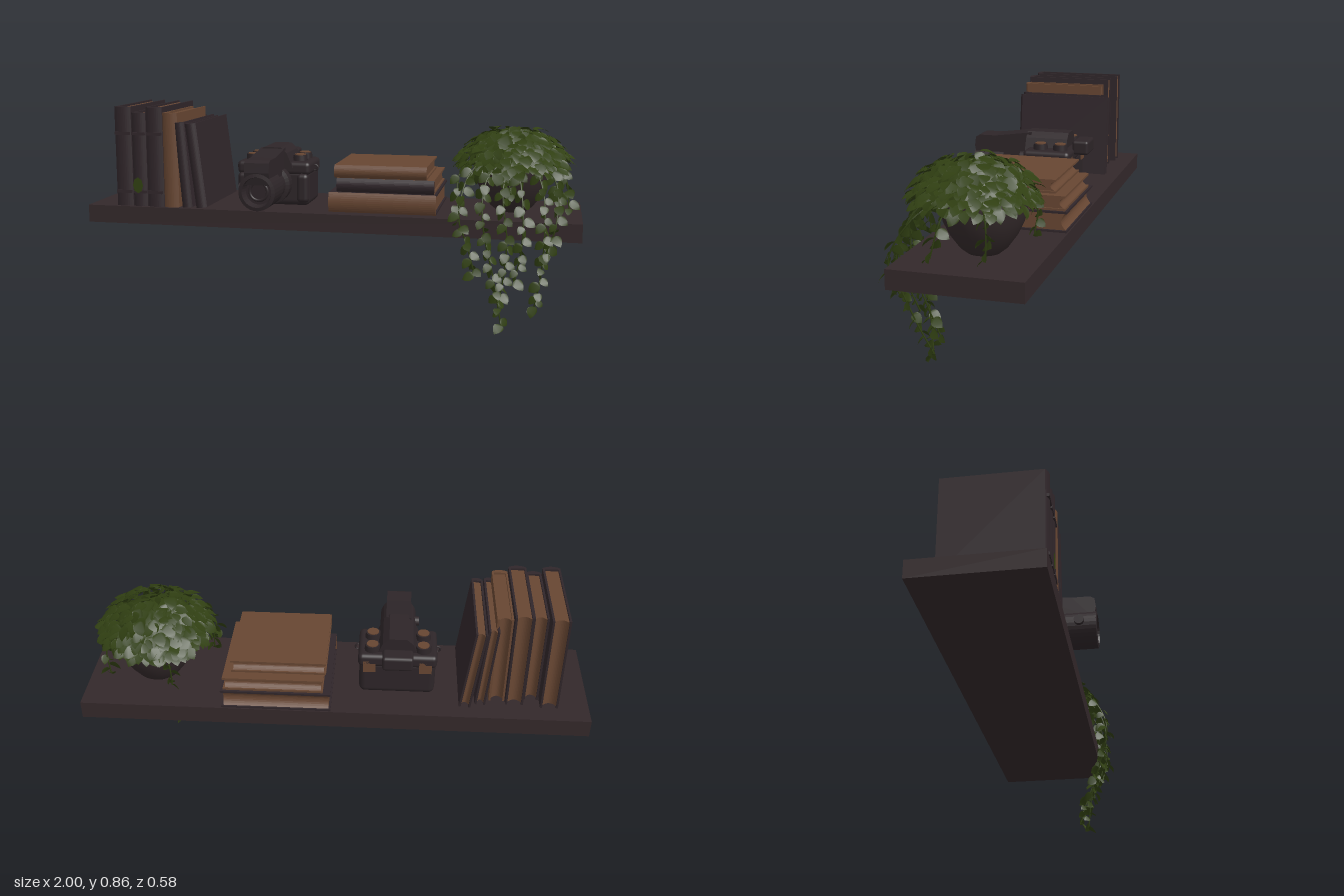
import * as THREE from 'three';
import { mergeGeometries } from 'three/addons/utils/BufferGeometryUtils.js';
import { RoundedBoxGeometry } from 'three/addons/geometries/RoundedBoxGeometry.js';

const material = (name, color, side = THREE.FrontSide) => {
  const m = new THREE.MeshStandardMaterial({ color, side });
  m.name = name;
  return m;
};
const wood = material('dark wood', 0x33282a);
const dark = material('dark cover', 0x30262a);
const tan = material('tan paper', 0x674632);
const clay = material('dark clay', 0x33292a, THREE.DoubleSide);
const black = material('camera black', 0x2d2528);
const leafGreen = material('leaf green', 0x303f12, THREE.DoubleSide);
const SHELF = 0.447;

let seed = 7;
const rand = () => (seed = (seed * 16807) % 2147483647) / 2147483647;
const jitter = (a) => (rand() - 0.5) * a;
const V = (x, y, z) => new THREE.Vector3(x, y, z);

function add(parent, name, geometry, mat, x = 0, y = 0, z = 0) {
  const mesh = new THREE.Mesh(geometry, mat);
  mesh.name = name;
  mesh.position.set(x, y, z);
  parent.add(mesh);
  return mesh;
}

// Extrudes an outline in (x, -z) upwards
function prism(shape, h) {
  const g = new THREE.ExtrudeGeometry(shape, { depth: h, bevelEnabled: false, curveSegments: 10 });
  return g.rotateX(-Math.PI / 2);
}

// Upright book standing on y = 0, spine facing +z, hollow fore-edge at the back
function makeBook(name, w, h, d, cover, spineMat) {
  const book = new THREE.Group();
  book.name = name;
  const t = 0.008, a = w / 2, b = d / 2;
  for (const s of [-1, 1]) {
    add(book, 'coverBoard', new THREE.BoxGeometry(t, h, d - 0.012), cover, s * (a - t / 2), h / 2, -0.006);
  }
  const spine = new THREE.Shape();
  spine.moveTo(-a, -b + 0.012);
  spine.quadraticCurveTo(0, -b - 0.012, a, -b + 0.012);
  spine.lineTo(a - t, -b + 0.022);
  spine.lineTo(-a + t, -b + 0.022);
  add(book, 'spine', prism(spine, h), spineMat);
  const pages = new THREE.Shape();
  pages.moveTo(-a + t, -b + 0.02);
  pages.lineTo(a - t, -b + 0.02);
  pages.lineTo(a - t, b - 0.006);
  pages.quadraticCurveTo(0, b - 0.04, -a + t, b - 0.006);
  add(book, 'pages', prism(pages, h - 0.016), tan, 0, 0.008);
  return book;
}

function makeUprightBooks() {
  const row = new THREE.Group();
  row.name = 'uprightBooks';
  // x, width, height, back z, cover, lean
  const books = [
    [-0.844, 0.07, 0.408, -0.215, dark, 0], [-0.776, 0.06, 0.385, -0.165, dark, 0],
    [-0.709, 0.07, 0.408, -0.2, dark, 0], [-0.641, 0.062, 0.386, -0.18, tan, 0],
    [-0.574, 0.042, 0.348, -0.21, dark, 0.08], [-0.513, 0.046, 0.345, -0.23, dark, 0.12],
  ];
  books.forEach(([x, w, h, back, cover, lean]) => {
    const book = makeBook('uprightBook', w, h, 0.18 - back, cover, cover);
    book.position.set(x, SHELF + (w / 2) * Math.sin(lean), (0.18 + back) / 2);
    book.rotation.z = lean;
    row.add(book);
    if (cover === dark && !lean) {
      for (const y of [0.06, 0.3]) add(book, 'spineBand', new THREE.BoxGeometry(w * 0.9, 0.012, 0.012), dark, 0, y, (0.18 - back) / 2 - 0.003);
    }
  });
  const mark = add(row, 'spineEmblem', new THREE.CircleGeometry(0.022, 8), leafGreen, -0.78, 0.535, 0.186);
  mark.scale.y = 1.5;
  return row;
}

function makeBookStack() {
  const stack = new THREE.Group();
  stack.name = 'bookStack';
  // x centre, length, thickness, base y, back z, front z, cover, spine
  const books = [
    [0.225, 0.43, 0.08, 0, -0.285, 0.145, dark, tan],
    [0.235, 0.39, 0.056, 0.08, -0.275, 0.13, tan, dark],
    [0.215, 0.37, 0.052, 0.136, -0.232, 0.128, tan, tan],
  ];
  books.forEach(([x, len, t, y, back, front, cover, spine]) => {
    const book = makeBook('lyingBook', t, len, front - back, cover, spine);
    book.rotation.z = Math.PI / 2;
    book.position.set(x + len / 2, SHELF + y + t / 2, (front + back) / 2);
    stack.add(book);
  });
  return stack;
}

function makeCamera() {
  const cam = new THREE.Group();
  cam.name = 'camera';
  cam.position.set(-0.245, SHELF, 0);
  add(cam, 'body', new RoundedBoxGeometry(0.3, 0.15, 0.19, 3, 0.025), black, 0, 0.075, -0.06);
  add(cam, 'topPlate', new RoundedBoxGeometry(0.31, 0.055, 0.2, 3, 0.018), black, 0, 0.155, -0.06);
  for (const s of [-1, 1]) {
    add(cam, 'grip', new RoundedBoxGeometry(0.05, 0.12, 0.04, 3, 0.018), black, s * 0.125, 0.075, 0.035);
    add(cam, 'strapLug', new THREE.TorusGeometry(0.012, 0.004, 6, 12), black, s * 0.157, 0.15, -0.05);
    add(cam, 'backPanel', new THREE.BoxGeometry(0.05, 0.05, 0.006), tan, s * 0.11, 0.13, -0.157);
    for (const z of [-0.11, -0.025]) {
      add(cam, 'dial', new THREE.CylinderGeometry(0.029, 0.031, 0.025, 20), black, s * 0.1, 0.193, z);
      add(cam, 'dialCap', new THREE.CylinderGeometry(0.023, 0.023, 0.004, 20), tan, s * 0.1, 0.207, z);
    }
  }
  // Viewfinder hump, with a nose reaching over the lens
  const hump = new THREE.Shape([[-0.085, 0.16], [0.085, 0.16], [0.06, 0.22], [0.035, 0.243], [-0.035, 0.243], [-0.06, 0.22]]
    .map((p) => new THREE.Vector2(...p)));
  add(cam, 'viewfinderHump', new THREE.ExtrudeGeometry(hump, { depth: 0.18, bevelEnabled: false }), black, 0, 0, -0.13);
  const nose = new THREE.Shape([[-0.03, 0.12], [-0.275, 0.12], [-0.285, 0.17], [-0.28, 0.208], [-0.262, 0.218], [-0.19, 0.218], [-0.03, 0.24]]
    .map((p) => new THREE.Vector2(...p)));
  const noseGeo = new THREE.ExtrudeGeometry(nose, { depth: 0.1, bevelEnabled: false }).rotateY(Math.PI / 2);
  add(cam, 'viewfinderNose', noseGeo, black, -0.05);
  add(cam, 'eyepiece', new RoundedBoxGeometry(0.12, 0.06, 0.07, 2, 0.012), black, 0, 0.185, -0.185);
  // Lens barrel with stepped rings and a recessed front
  const profile = [[0.08, 0], [0.08, 0.05], [0.064, 0.055], [0.064, 0.12], [0.074, 0.125], [0.074, 0.255], [0.06, 0.258], [0.052, 0.225], [0, 0.225]];
  const lens = new THREE.LatheGeometry(profile.map((p) => new THREE.Vector2(...p)), 32).toNonIndexed();
  lens.computeVertexNormals();
  lens.rotateX(Math.PI / 2);
  add(cam, 'lens', lens, black, 0, 0.093, 0.03);
  add(cam, 'lensRing', new THREE.TorusGeometry(0.036, 0.006, 8, 24), black, 0, 0.093, 0.257);
  const knob = add(cam, 'lensKnob', new THREE.CylinderGeometry(0.02, 0.02, 0.02, 16), black, -0.078, 0.1, 0.22);
  knob.rotation.z = Math.PI / 2;
  return cam;
}

// Folded oval leaf, base at the origin, tip towards +y
const leafShape = new THREE.Shape();
leafShape.moveTo(0, 0);
leafShape.bezierCurveTo(0.55, 0.1, 0.55, 0.65, 0, 1);
leafShape.bezierCurveTo(-0.55, 0.65, -0.55, 0.1, 0, 0);
const leafBase = new THREE.ShapeGeometry(leafShape, 6);
const lp = leafBase.attributes.position;
for (let i = 0; i < lp.count; i++) lp.setZ(i, Math.abs(lp.getX(i)) * 0.3 - lp.getY(i) ** 2 * 0.18);
leafBase.computeVertexNormals();

function leafAt(point, tip, normal, size) {
  const y = tip.clone().normalize();
  const x = y.clone().cross(normal).normalize();
  const m = new THREE.Matrix4().makeBasis(x, y, x.clone().cross(y));
  return leafBase.clone().applyMatrix4(m.scale(V(size, size, size)).setPosition(point));
}

function makePlant() {
  const plant = new THREE.Group();
  plant.name = 'pottedPlant';
  const cx = 0.725, cz = -0.063;
  const pot = [[0, 0], [0.06, 0], [0.085, 0.02], [0.118, 0.065], [0.142, 0.115], [0.155, 0.165], [0.158, 0.205], [0.146, 0.208], [0.14, 0.17]];
  add(plant, 'pot', new THREE.LatheGeometry(pot.map((p) => new THREE.Vector2(...p)), 36), clay, cx, SHELF, cz);
  const soil = add(plant, 'soil', new THREE.CircleGeometry(0.145, 24), wood, cx, SHELF + 0.18, cz);
  soil.rotation.x = -Math.PI / 2;
  const mass = add(plant, 'foliageCore', new THREE.SphereGeometry(1, 20, 10, 0, Math.PI * 2, 0, Math.PI / 2), leafGreen, cx, 0.645, -0.035);
  mass.scale.set(0.165, 0.125, 0.165);

  // Dome of overlapping leaves
  const leaves = [];
  const count = 330;
  for (let i = 0; i < count; i++) {
    const u = 1 - (i / count) * 1.12, r = Math.sqrt(1 - u * u), a = i * 2.39996;
    const n = V(Math.cos(a) * r, u, Math.sin(a) * r);
    const k = 0.88 + rand() * 0.14;
    const p = V(cx + n.x * 0.195 * k, 0.645 + n.y * 0.145 * k, -0.03 + n.z * 0.195 * k);
    const tip = V(n.x + jitter(1.2), -0.35 + jitter(0.7), n.z + jitter(1.2));
    leaves.push(leafAt(p, tip, n.clone().add(V(jitter(0.5), 0.6, jitter(0.5))), 0.045 + rand() * 0.02));
  }
  add(plant, 'foliage', mergeGeometries(leaves), leafGreen);

  // Trailing vines: path points from the pot outwards and down
  const vines = [
    [[0.62, 0.68, 0.08], [0.56, 0.6, 0.19], [0.54, 0.46, 0.25], [0.57, 0.36, 0.23], [0.6, 0.23, 0.19]],
    [[0.68, 0.68, 0.1], [0.63, 0.58, 0.2], [0.63, 0.44, 0.24], [0.67, 0.22, 0.17], [0.705, 0.02, 0.14]],
    [[0.72, 0.68, 0.1], [0.7, 0.56, 0.2], [0.72, 0.38, 0.21], [0.71, 0.22, 0.16], [0.69, 0.1, 0.12]],
    [[0.74, 0.68, 0.1], [0.77, 0.56, 0.19], [0.78, 0.42, 0.23], [0.77, 0.3, 0.2], [0.75, 0.21, 0.17]],
    [[0.8, 0.68, 0.08], [0.85, 0.56, 0.17], [0.86, 0.4, 0.21], [0.85, 0.22, 0.15], [0.83, 0.09, 0.09]],
    [[0.84, 0.66, 0.05], [0.9, 0.58, 0.14], [0.9, 0.44, 0.22], [0.86, 0.31, 0.2]],
    [[0.87, 0.66, 0], [0.93, 0.6, 0.02], [0.95, 0.48, 0.05]],
    [[0.86, 0.66, -0.1], [0.91, 0.6, -0.13], [0.91, 0.48, -0.13]],
    [[0.58, 0.66, 0.02], [0.52, 0.6, 0.05], [0.52, 0.48, 0.08]],
    [[0.66, 0.66, -0.2], [0.64, 0.59, -0.23], [0.64, 0.5, -0.22]],
    [[0.7, 0.66, 0.08], [0.72, 0.58, 0.13], [0.73, 0.52, 0.13]],
  ];
  const vineLeaves = [];
  vines.forEach((points) => {
    const curve = new THREE.CatmullRomCurve3(points.map((p) => V(...p)));
    add(plant, 'vine', new THREE.TubeGeometry(curve, 24, 0.003, 5), leafGreen);
    const steps = Math.round(curve.getLength() / 0.024);
    for (let i = 2; i <= steps; i++) {
      const p = curve.getPointAt(i / steps);
      const a = i * 2.3 + jitter(1);
      const out = V(Math.cos(a), -0.55 + jitter(0.6), Math.sin(a) * 0.8);
      vineLeaves.push(leafAt(p, out, V(jitter(0.8), 0.6, 0.8), 0.036 + rand() * 0.016));
    }
  });
  add(plant, 'vineLeaves', mergeGeometries(vineLeaves), leafGreen);
  return plant;
}

export function createModel() {
  const model = new THREE.Group();
  model.name = 'decoratedShelf';
  add(model, 'shelf', new THREE.BoxGeometry(2, 0.072, 0.48), wood, 0, 0.411, -0.05);
  model.add(makeUprightBooks(), makeCamera(), makeBookStack(), makePlant());
  return model;
}
